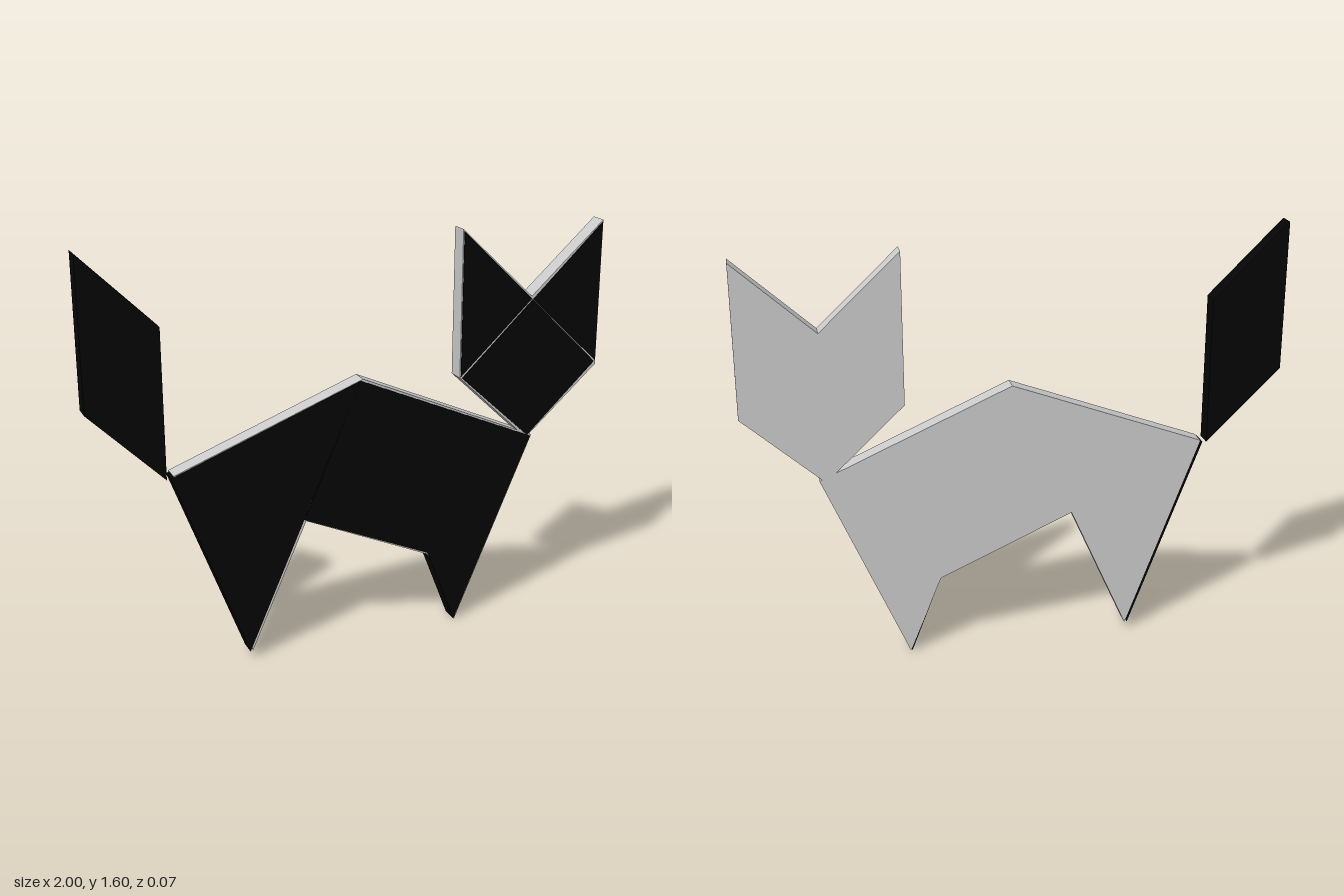
import * as THREE from 'three';

const grey = new THREE.MeshStandardMaterial({ color: 0xcccccc, flatShading: true });
const black = new THREE.MeshStandardMaterial({ color: 0x050505, flatShading: true });

// Flat polygon slab between two depths
function slab(name, points, material, zBack, zFront) {
  const shape = new THREE.Shape(points.map(([x, y]) => new THREE.Vector2(x, y)));
  const geometry = new THREE.ExtrudeGeometry(shape, { depth: zFront - zBack, bevelEnabled: false });
  geometry.translate(0, 0, zBack);
  const mesh = new THREE.Mesh(geometry, material);
  mesh.name = name;
  return mesh;
}

export function createModel() {
  const model = new THREE.Group();
  model.name = 'tangramCat';

  // Black tangram pieces
  const pieces = {
    tail: [[-1, 1.04], [-0.725, 0.765], [-0.725, 1.32], [-1, 1.595]],
    hindLeg: [[-0.71, 0.767], [-0.435, 0.03], [0.012, 1.038]],
    belly: [[0.012, 1.038], [-0.212, 0.528], [0.298, 0.304]],
    frontLeg: [[0.012, 1.038], [0.412, 0], [0.724, 0.727]],
    face: [[0.423, 0.996], [0.71, 0.732], [0.993, 0.997], [0.712, 1.27]],
    rightEar: [[0.418, 1.003], [0.708, 1.274], [0.418, 1.552]],
    leftEar: [[0.997, 1.0], [0.997, 1.54], [0.714, 1.271]],
  };
  for (const [name, points] of Object.entries(pieces)) {
    model.add(slab(name, points, black, -0.032, 0.034));
  }

  // Grey backings, slightly offset behind the pieces
  model.add(slab('bodyBacking', [
    [-0.7, 0.775], [-0.424, 0.032], [-0.205, 0.522], [0.297, 0.298],
    [0.418, 0.002], [0.73, 0.73], [0.022, 1.043],
  ], grey, -0.036, 0.031));
  model.add(slab('headBacking', [
    [0.414, 0.998], [0.706, 0.722], [1, 0.984], [1, 1.548], [0.708, 1.283], [0.414, 1.56],
  ], grey, -0.036, 0.031));

  return model;
}
